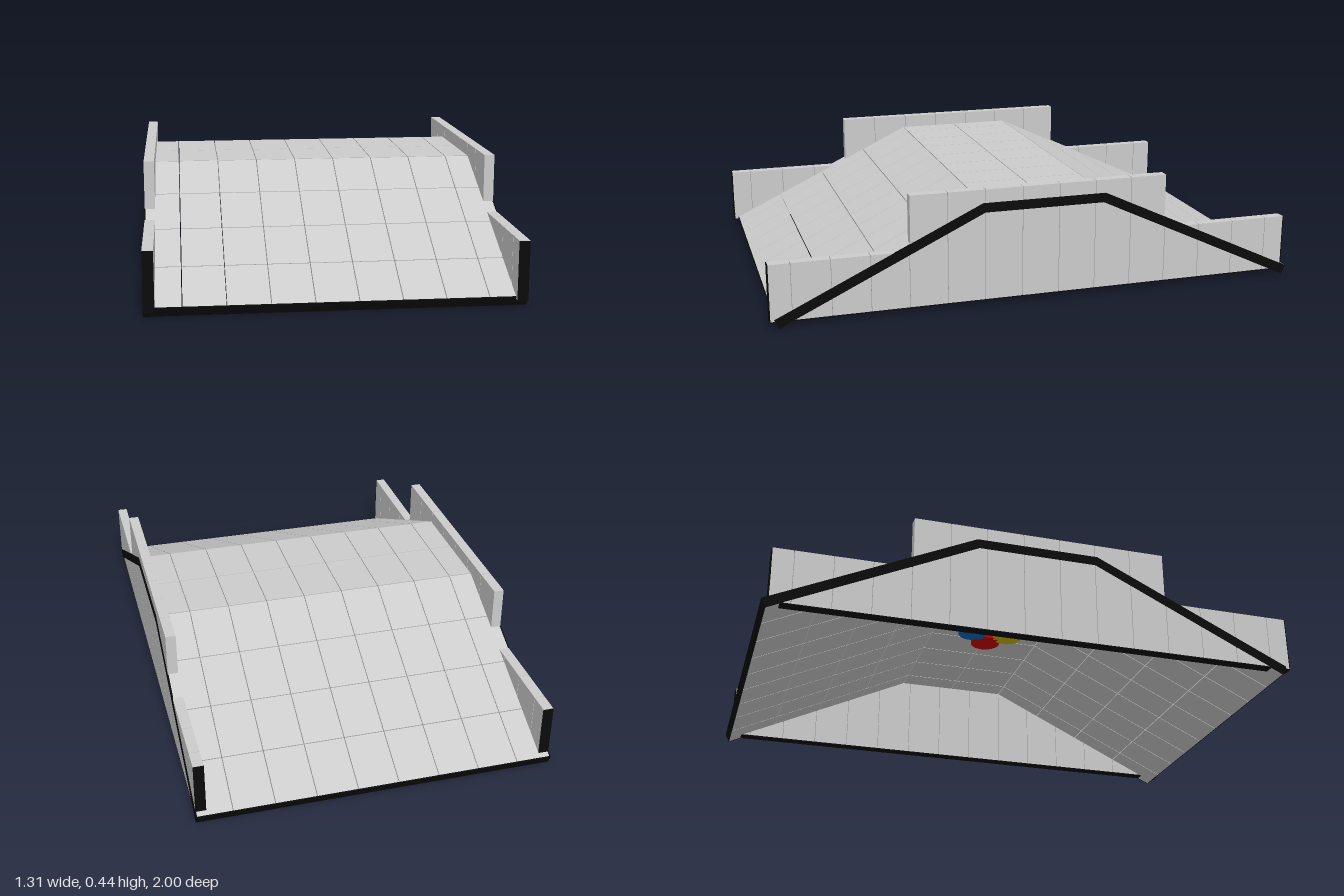
import * as THREE from 'three';

const grey = new THREE.MeshStandardMaterial({ color: 0xcccccc });
const black = new THREE.MeshStandardMaterial({ color: 0x0a0a0a });

// Ramp profile as [z, y], front to back
const TOP = [[0.983, 0.033], [0.229, 0.39], [-0.239, 0.39], [-1, 0.033]];
const BOTTOM = [[0.968, 0], [0.221, 0.355], [-0.231, 0.355], [-0.985, 0]];
const ROWS = [4, 2, 4];
const SEAM = 0.003;
const HALF = 0.655;
const WALL = 0.039;

function add(parent, name, geometry, material = grey) {
  const mesh = new THREE.Mesh(geometry, material);
  mesh.name = name;
  parent.add(mesh);
  return mesh;
}

function group(parent, name) {
  const g = new THREE.Group();
  g.name = name;
  parent.add(g);
  return g;
}

// Extrude a [z, y] outline from x0 to x1
function prism(points, x0, x1) {
  const shape = new THREE.Shape(points.map(([z, y]) => new THREE.Vector2(z, y)));
  return new THREE.ExtrudeGeometry(shape, { depth: x1 - x0, bevelEnabled: false })
    .rotateY(-Math.PI / 2)
    .translate(x1, 0, 0);
}

// Box given by its limits
function block(x0, x1, y0, y1, z0, z1) {
  return new THREE.BoxGeometry(x1 - x0, y1 - y0, z1 - z0)
    .translate((x0 + x1) / 2, (y0 + y1) / 2, (z0 + z1) / 2);
}

const mix = (a, b, t) => a.map((v, i) => v + (b[i] - v) * t);

// Tiled deck: front slope, level top, back slope
function buildDeck(parent) {
  const columns = [-HALF + 0.002];
  for (let i = 0; i < 8; i++) columns.push(-0.525 + i * 0.15);
  columns.push(HALF - 0.002);
  ['frontSlope', 'levelTop', 'backSlope'].forEach((name, s) => {
    const section = group(parent, name);
    const length = Math.hypot(TOP[s + 1][0] - TOP[s][0], TOP[s + 1][1] - TOP[s][1]);
    const gap = SEAM / 2 / length;
    for (let r = 0; r < ROWS[s]; r++) {
      const t0 = r / ROWS[s] + gap;
      const t1 = (r + 1) / ROWS[s] - gap;
      const outline = [
        mix(TOP[s], TOP[s + 1], t0), mix(TOP[s], TOP[s + 1], t1),
        mix(BOTTOM[s], BOTTOM[s + 1], t1), mix(BOTTOM[s], BOTTOM[s + 1], t0),
      ];
      for (let c = 0; c + 1 < columns.length; c++) {
        add(section, 'deckTile', prism(outline, columns[c] + SEAM / 2, columns[c + 1] - SEAM / 2));
      }
    }
  });
}

// Dark edging along both sides and both ends of the deck
function buildDeckEdges(parent) {
  const edges = group(parent, 'deckEdges');
  const profile = [...TOP, ...[...BOTTOM].reverse()];
  add(edges, 'leftDeckEdge', prism(profile, HALF - 0.004, HALF + 0.001), black);
  add(edges, 'rightDeckEdge', prism(profile, -HALF - 0.001, -HALF + 0.004), black);
  [[0, 1, 'frontDeckEdge'], [3, 2, 'backDeckEdge']].forEach(([end, next, name]) => {
    const t = 0.005;
    const strip = [TOP[end], mix(TOP[end], TOP[next], t), mix(BOTTOM[end], BOTTOM[next], t), BOTTOM[end]];
    const dz = Math.sign(TOP[end][0]) * 0.001;
    add(edges, name, prism(strip.map(([z, y]) => [z + dz, y]), -HALF, HALF), black);
  });
}

// Wall of upright panels between z0 (back) and z1 (front)
function buildPanels(parent, name, x0, x1, y0, y1, z0, z1) {
  const wall = group(parent, name);
  const cuts = [z0];
  for (let i = -7; i <= 6; i++) {
    const z = 0.08 + i * 0.14;
    if (z > z0 + 0.03 && z < z1 - 0.03) cuts.push(z);
  }
  cuts.push(z1);
  for (let i = 0; i + 1 < cuts.length; i++) {
    add(wall, 'wallPanel', block(x0, x1, y0, y1, cuts[i] + 0.001, cuts[i + 1] - 0.001));
  }
}

function buildSide(parent, name, sign) {
  const side = group(parent, name);
  const outer = sign * (HALF - 0.001);
  const inner = sign * (HALF - WALL);
  const x0 = Math.min(outer, inner);
  const x1 = Math.max(outer, inner);
  buildPanels(side, 'lowerWall', x0, x1, 0.026, 0.235, -0.978, 0.998);
  buildPanels(side, 'upperWall', x0, x1, 0.235, 0.44, -0.478, 0.498);
  // Dark base strip and end caps of the lower wall
  add(side, 'wallBase', block(x0, x1, 0.022, 0.026, -0.98, 1), black);
  add(side, 'frontWallCap', block(x0, x1, 0.022, 0.234, 0.996, 1), black);
  add(side, 'backWallCap', block(x0, x1, 0.022, 0.234, -0.98, -0.976), black);
}

// Four coloured discs under the level top
function buildDiscs(parent) {
  const discs = group(parent, 'undersideDiscs');
  [
    [0.075, 0, 0xcc0000], [-0.075, 0, 0x009900],
    [0, -0.075, 0x0066bb], [0, 0.075, 0xccbb00],
  ].forEach(([x, z, color]) => {
    const material = new THREE.MeshStandardMaterial({ color });
    add(discs, 'disc', new THREE.CylinderGeometry(0.06, 0.06, 0.018, 24), material)
      .position.set(x, 0.346, z);
  });
}

export function createModel() {
  const model = new THREE.Group();
  model.name = 'rampBridge';
  buildDeck(model);
  buildDeckEdges(model);
  buildSide(model, 'leftSide', 1);
  buildSide(model, 'rightSide', -1);
  buildDiscs(model);
  return model;
}
